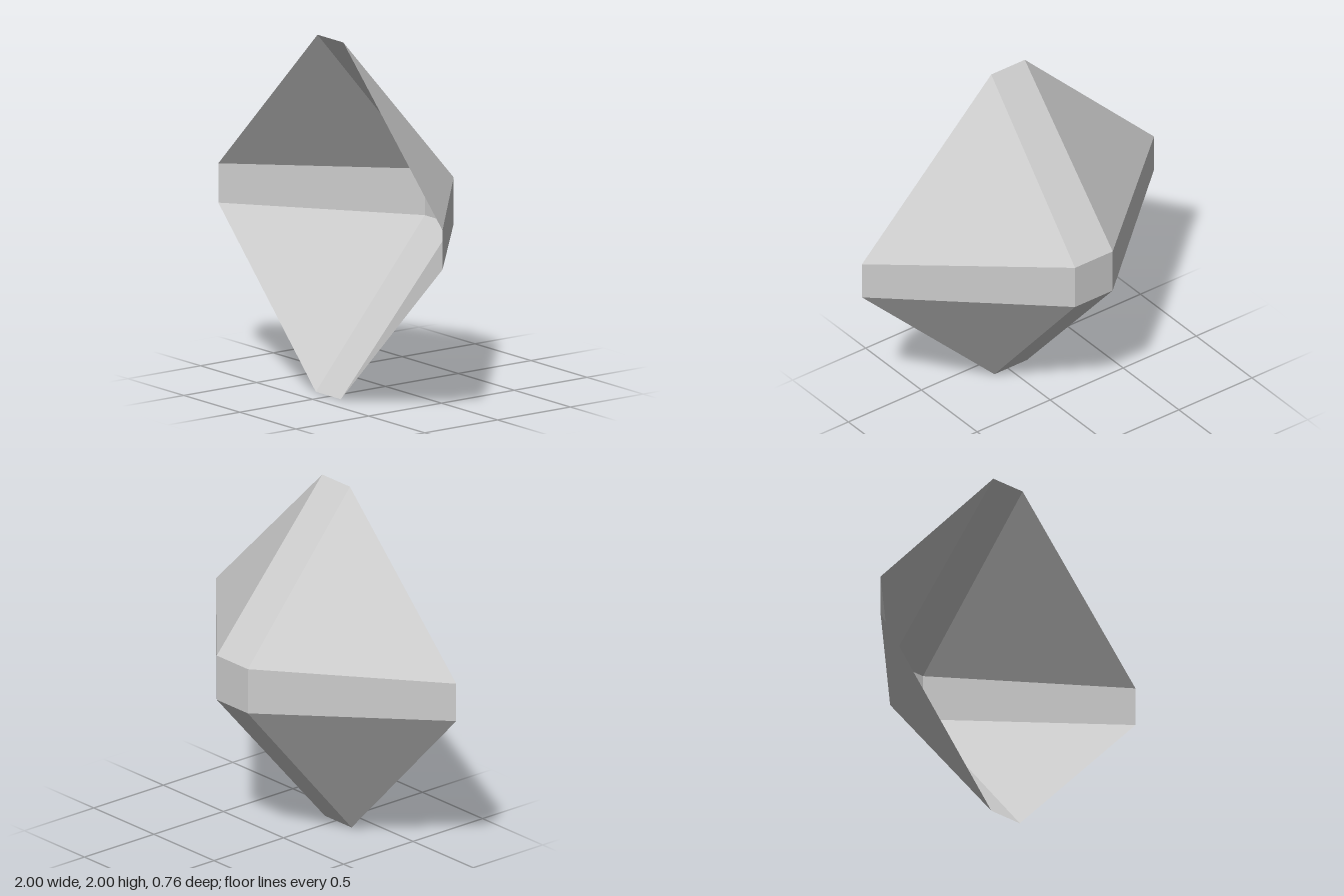
import * as THREE from 'three';

const RIM_Z = 0.378, HUB_Z = -0.378;

// Rim corners, counter-clockwise from the right edge: two per side
const rim = [
  [1, 0.895], [1, 1.115], [0.115, 2], [-0.115, 2],
  [-1, 1.115], [-1, 0.895], [-0.13, 0], [0.093, 0],
].map(([x, y]) => new THREE.Vector3(x, y, RIM_Z));

// Corners of the small back plate, counter-clockwise from the upper right
const hub = [
  [0.118, 1.137], [-0.14, 1.137], [-0.14, 0.877], [0.118, 0.877],
].map(([x, y]) => new THREE.Vector3(x, y, HUB_Z));

// Flat polygon as a triangle fan
function panel(name, corners, material) {
  const points = [];
  for (let i = 1; i < corners.length - 1; i++) points.push(corners[0], corners[i], corners[i + 1]);
  const geometry = new THREE.BufferGeometry().setFromPoints(points);
  geometry.computeVertexNormals();
  const mesh = new THREE.Mesh(geometry, material);
  mesh.name = name;
  return mesh;
}

export function createModel() {
  const grey = new THREE.MeshStandardMaterial({ color: 0xcccccc, side: THREE.DoubleSide });
  grey.name = 'light grey';

  const model = new THREE.Group();
  model.name = 'openFacetedShell';
  model.add(panel('backPlate', hub, grey));

  // Four narrow strips with a triangular facet between each pair
  const sides = ['left', 'top', 'right', 'bottom'];
  const facets = ['upperLeft', 'upperRight', 'lowerRight', 'lowerLeft'];
  for (let i = 0; i < 4; i++) {
    const a = rim[2 * i], b = rim[2 * i + 1], next = rim[(2 * i + 2) % 8];
    model.add(panel(sides[i] + 'Strip', [a, b, hub[i], hub[(i + 3) % 4]], grey));
    model.add(panel(facets[i] + 'Facet', [b, next, hub[i]], grey));
  }
  return model;
}
